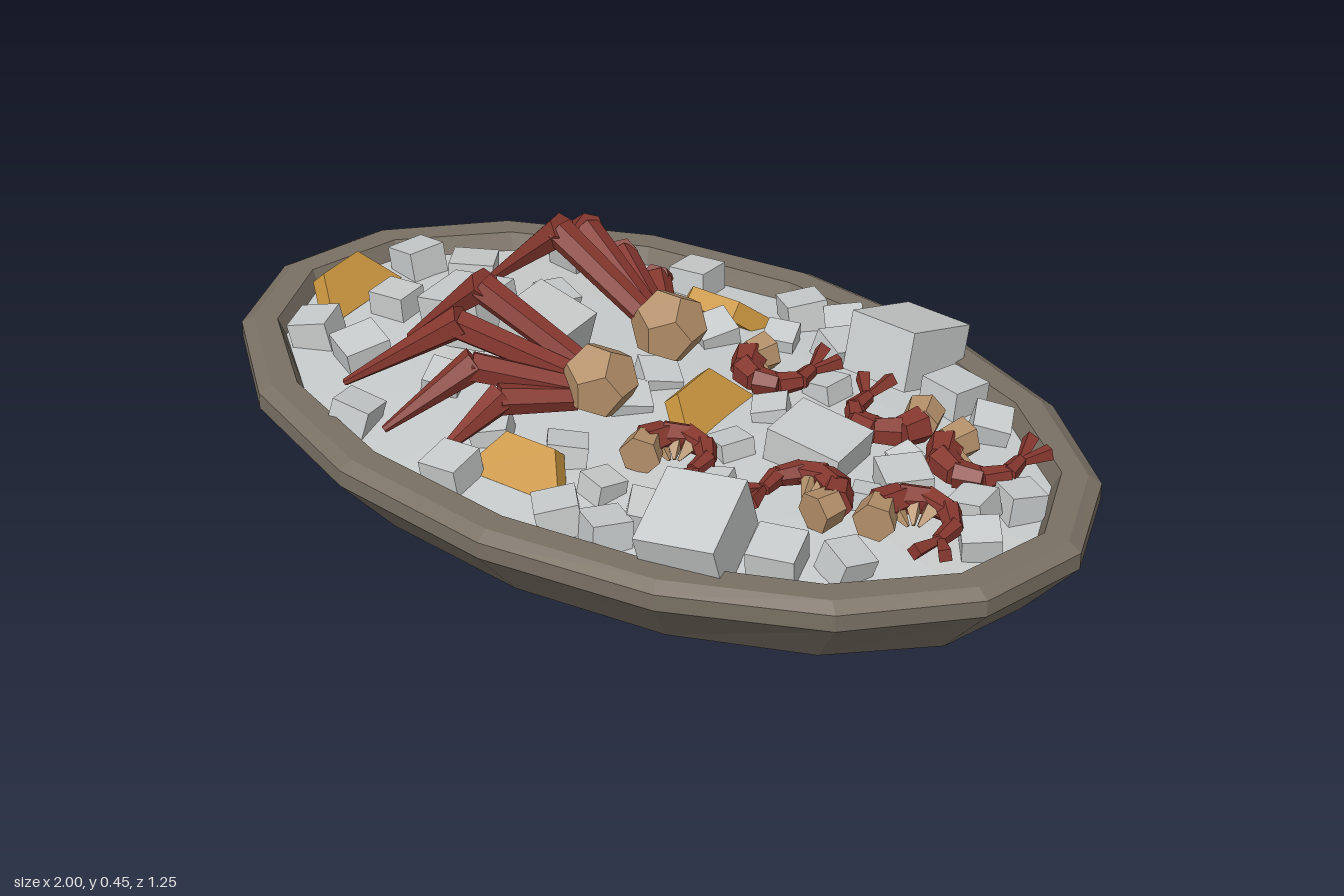
import * as THREE from 'three';

const mat = (name, color) => {
  const m = new THREE.MeshStandardMaterial({ color });
  m.name = name;
  return m;
};
const V = (x, y, z) => new THREE.Vector3(x, y, z);

// Faceted normals for any geometry
function flat(geo) {
  const g = geo.index ? geo.toNonIndexed() : geo;
  g.computeVertexNormals();
  return g;
}

// Skin of oval rings, each [half length, half width, height]
function ovalLoft(rings, n = 16) {
  const pos = [], idx = [];
  for (const [a, b, y] of rings)
    for (let j = 0; j < n; j++) {
      const t = (j / n) * Math.PI * 2;
      pos.push(a * Math.cos(t), y, b * Math.sin(t));
    }
  for (let i = 0; i < rings.length - 1; i++)
    for (let j = 0; j < n; j++) {
      const k = (j + 1) % n, p = i * n, q = p + n;
      if (rings[i][0] > 0) idx.push(p + j, q + j, p + k);
      if (rings[i + 1][0] > 0) idx.push(p + k, q + j, q + k);
    }
  const g = new THREE.BufferGeometry();
  g.setAttribute('position', new THREE.Float32BufferAttribute(pos, 3));
  g.setIndex(idx);
  return flat(g);
}

export function createModel() {
  const root = new THREE.Group();
  root.name = 'seafoodPlatter';
  const stone = mat('trayBrownGrey', 0x797064);
  const ice = mat('iceGrey', 0xc9cccc);
  const red = mat('shellRed', 0x85372e);
  const tan = mat('fleshTan', 0xb38f69);
  const gold = mat('lemonGold', 0xc8943e);

  const add = (parent, name, geo, material) => {
    const m = new THREE.Mesh(geo, material);
    m.name = name;
    parent.add(m);
    return m;
  };
  const group = (name) => {
    const g = new THREE.Group();
    g.name = name;
    root.add(g);
    return g;
  };
  // Tapered limb between two points
  const limb = (parent, name, a, b, ra, rb, material, sides = 6) => {
    const d = b.clone().sub(a);
    const m = add(parent, name, flat(new THREE.CylinderGeometry(rb, ra, d.length(), sides)), material);
    m.position.copy(a).add(b).multiplyScalar(0.5);
    m.quaternion.setFromUnitVectors(V(0, 1, 0), d.normalize());
    return m;
  };

  // Oval tray with a chamfered rim
  const tray = [[0, 0, 0]];
  for (const [inset, y] of [[0.12, 0], [0, 0.145], [0, 0.183], [0.028, 0.2], [0.082, 0.2], [0.105, 0.15]])
    tray.push([1 - inset, 0.625 - inset, y]);
  add(root, 'tray', ovalLoft(tray), stone);

  // Shallow mound of crushed ice
  add(root, 'iceBed', ovalLoft([[0.9, 0.525, 0.162], [0.6, 0.34, 0.18], [0.3, 0.15, 0.19], [0, 0, 0.195]]), ice);

  // Ice blocks: x, y, z, width, height, depth, tilt x, yaw, tilt z
  const iceBlocks = group('iceBlocks');
  const block = (x, y, z, w, h, d, rx, ry, rz) => {
    const m = add(iceBlocks, 'iceBlock', new THREE.BoxGeometry(w, h, d), ice);
    m.position.set(x, y, z);
    m.rotation.set(rx, ry, rz, 'YXZ');
  };
  block(-0.68, 0.195, 0, 0.09, 0.07, 0.08, 0, 0, 0.08);
  block(-0.48, 0.24, 0, 0.16, 0.11, 0.14, 0, 0, 0.18);
  block(-0.28, 0.26, 0, 0.15, 0.11, 0.14, 0, 0, -0.25);
  block(0.4, 0.215, 0, 0.17, 0.08, 0.14, 0, 0, -0.12);
  block(0.6, 0.2, 0, 0.1, 0.07, 0.1, 0, Math.PI / 4, 0);
  block(0.76, 0.2, 0, 0.08, 0.06, 0.08, 0, 0, 0.2);
  // Mirrored cubes: x, z, size, yaw
  const cubes = [
    [-0.76, 0.18, 0.09, 0.3], [-0.62, 0.2, 0.1, -0.5], [-0.48, 0.4, 0.085, 0.2],
    [-0.19, 0.455, 0.09, 0], [-0.2, 0.3, 0.08, 0.5], [-0.03, 0.28, 0.085, 0.6],
    [-0.03, 0.055, 0.085, 0.75], [0.08, 0.465, 0.09, 0.7], [0.19, 0.46, 0.085, -0.6],
    [0.23, 0.37, 0.085, 0.45], [0.1, 0.34, 0.07, -0.3], [0.29, 0.22, 0.075, 0.2],
    [0.52, 0.35, 0.1, 0.25], [0.64, 0.29, 0.08, -0.4], [0.82, 0.08, 0.08, 0.6],
    [0.24, 0.08, 0.075, -0.5], [0.56, 0.08, 0.06, 0.4], [-0.4, 0.2, 0.08, 0.3],
  ];
  for (const s of [1, -1]) {
    cubes.forEach(([x, z, size, yaw], i) =>
      block(x, 0.188, s * z, size, size * 0.85, size, s * 0.2 * Math.sin(i * 2.3), s * yaw, 0.22 * Math.cos(i * 1.7)));
    block(0.37, 0.23, s * 0.41, 0.17, 0.13, 0.19, s * 0.3, s * 0.2, 0.08);
  }

  // Lemon wedges: half hexagons leaning back
  const wedge = new THREE.Shape([[-0.12, 0], [0.12, 0], [0.06, 0.104], [-0.06, 0.104]].map(p => new THREE.Vector2(...p)));
  const wedgeGeo = new THREE.ExtrudeGeometry(wedge, { depth: 0.045, bevelEnabled: false });
  wedgeGeo.translate(0, 0, -0.045).rotateX(-Math.PI / 4);
  const lemons = group('lemonWedges');
  for (const [x, y, z, yaw] of [[-0.07, 0.172, 0.42, 0], [-0.07, 0.172, -0.42, Math.PI],
    [-0.762, 0.172, 0, Math.PI / 2], [0.17, 0.19, 0, Math.PI / 2]]) {
    const m = add(lemons, 'lemonWedge', wedgeGeo, gold);
    m.position.set(x, y, z);
    m.rotation.y = yaw;
  }

  // Crab leg clusters: knee and tip of each leg
  const legs = [
    [[-0.34, 0.415, 0.14], [-0.545, 0.22, 0.13]],
    [[-0.335, 0.375, 0.235], [-0.555, 0.21, 0.34]],
    [[-0.27, 0.315, 0.275], [-0.39, 0.195, 0.42]],
    [[-0.19, 0.27, 0.29], [-0.245, 0.19, 0.43]],
  ];
  for (const s of [1, -1]) {
    const crab = group(s > 0 ? 'frontCrabCluster' : 'backCrabCluster');
    const body = add(crab, 'crabShoulder', new THREE.DodecahedronGeometry(0.083), tan);
    body.position.set(-0.05, 0.282, s * 0.13);
    legs.forEach(([k, t], i) => {
      const hip = V(-0.08, 0.285 - i * 0.012, s * (0.115 + i * 0.018));
      const knee = V(k[0], k[1], s * k[2]), tip = V(t[0], t[1], s * t[2]);
      limb(crab, 'upperLeg', hip, knee, 0.027, 0.034, red);
      limb(crab, 'lowerLeg', knee.clone().lerp(tip, -0.06), tip, 0.036, 0.008, red);
    });
  }

  // Curled shrimp: x, z, curl radius, direction
  const shrimps = [[0.18, 0.2, 0.07, 1], [0.465, 0.175, 0.075, -1], [0.7, 0.135, 0.08, 1]];
  for (const s of [1, -1])
    shrimps.forEach(([cx, cz, R, dir]) => {
      const shrimp = group('shrimp');
      const at = (deg, r, y) => {
        const a = THREE.MathUtils.degToRad(deg);
        return V(cx + dir * r * Math.cos(a), y, s * (cz + r * Math.sin(a)));
      };
      const n = 6;
      for (let i = 0; i < n; i++) {
        const a0 = 140 + i * 40, r0 = 0.044 - i * 0.0045;
        limb(shrimp, i ? 'shrimpShell' : 'shrimpHead', at(a0, R, 0.222), at(a0 + 44, R, 0.222),
          r0, r0 - 0.006, i ? red : tan);
        // Small legs on the inside of the curl
        if (i > 0 && i < 4) limb(shrimp, 'shrimpLeg', at(a0 + 20, R * 0.7, 0.222), at(a0 + 20, R * 0.2, 0.2), 0.02, 0.004, tan, 4);
      }
      // Two-lobed tail
      const end = at(380, R, 0.222);
      for (const spread of [-0.028, 0.028])
        limb(shrimp, 'shrimpTail', end, V(end.x + dir * (0.012 + spread), 0.232, end.z + s * (0.065 - spread * 0.4)), 0.009, 0.018, red, 4);
    });

  return root;
}
